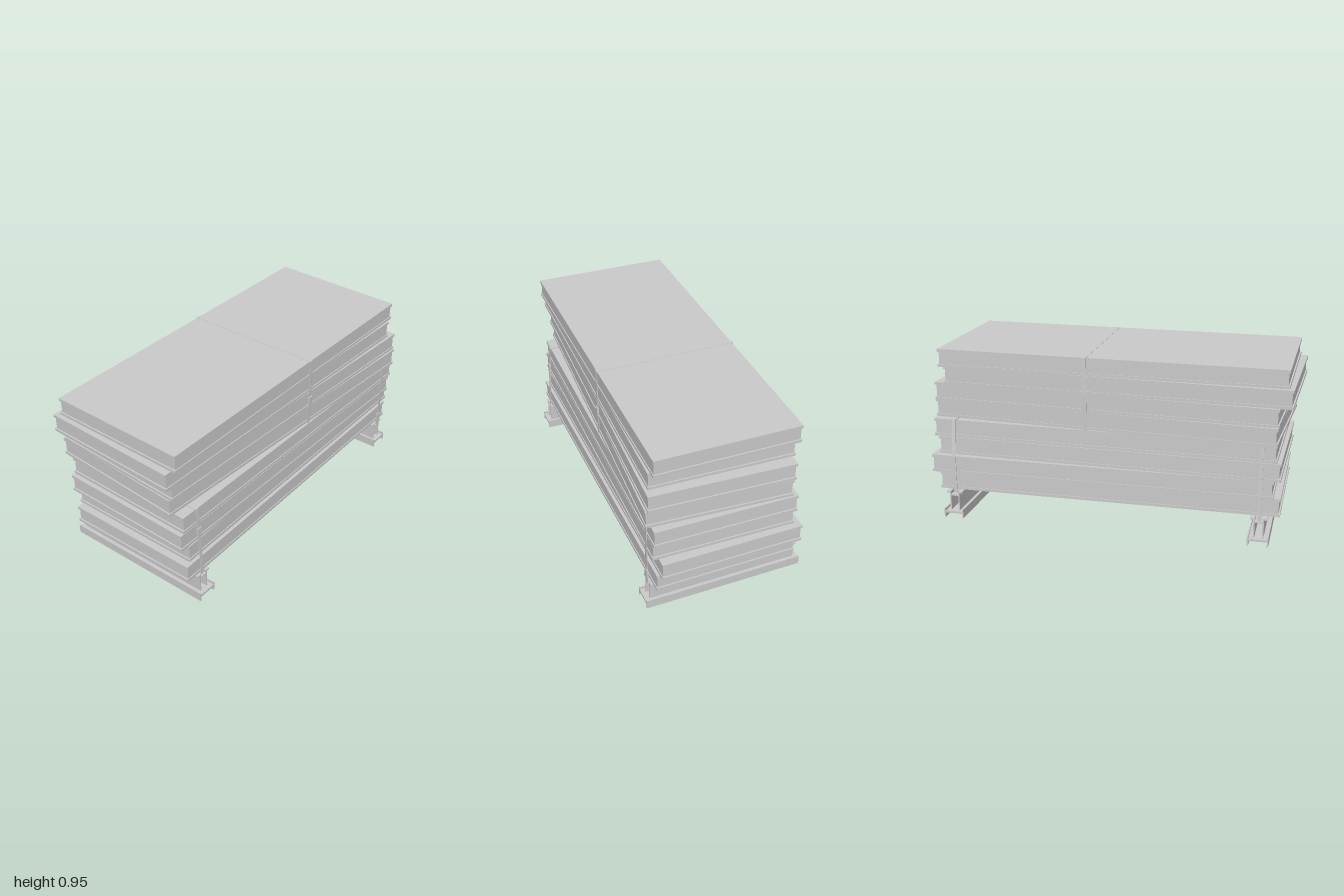
import * as THREE from 'three';

const material = new THREE.MeshStandardMaterial({ color: 0xcccccc });

function box(parent, name, size, pos, rotZ = 0) {
  const mesh = new THREE.Mesh(new THREE.BoxGeometry(...size), material);
  mesh.name = name;
  mesh.position.set(...pos);
  mesh.rotation.z = rotZ;
  parent.add(mesh);
  return mesh;
}

// Sandwich panel: recessed core between two thin face sheets
function panel([x, y, z, turn], index) {
  const g = new THREE.Group();
  const W = 0.772, L = 1.89, H = 0.0985, T = 0.015;
  g.name = 'panel' + (index + 1);
  box(g, 'bottomSheet', [W, T, L], [0, T / 2, 0]);
  box(g, 'core', [W - 0.01, H - 2 * T, L - 0.016], [0, H / 2, 0]);
  box(g, 'topSheet', [W, T, L], [0, H - T / 2, 0]);
  g.position.set(x, y, z);
  g.rotation.y = turn;
  return g;
}

// Support: wide H rail on the ground carrying a narrower upright channel
function support(name, z) {
  const g = new THREE.Group();
  g.name = name;
  box(g, 'railWeb', [0.874, 0.012, 0.104], [0.002, 0.032, 0]);
  for (const s of [-1, 1]) {
    box(g, 'railFlange', [0.874, 0.05, 0.007], [0.002, 0.025, s * 0.0525]);
    box(g, 'channelWall', [0.825, 0.105, 0.007], [0.002, 0.088, s * 0.024]);
    box(g, 'channelLip', [0.825, 0.009, 0.026], [0.002, 0.1425, s * 0.033]);
  }
  box(g, 'channelWeb', [0.825, 0.008, 0.044], [0.002, 0.125, 0]);
  g.position.z = z;
  return g;
}

// Flat strap following a closed loop of [x, y] points
function strap(name, z, points, width = 0.02) {
  const g = new THREE.Group();
  g.name = name;
  points.forEach(([x0, y0], i) => {
    const [x1, y1] = points[(i + 1) % points.length];
    const dx = x1 - x0, dy = y1 - y0;
    box(g, 'strapRun', [Math.hypot(dx, dy) + 0.003, 0.004, width],
      [(x0 + x1) / 2, (y0 + y1) / 2, 0], Math.atan2(dy, dx));
  });
  g.position.z = z;
  return g;
}

export function createModel() {
  const model = new THREE.Group();
  model.name = 'panelStack';

  // Panels from bottom to top: x, base y, z, turn
  const panels = [
    [0.014, 0.148, -0.015, 0],
    [-0.002, 0.249, -0.0525, -0.001],
    [0.0115, 0.349, -0.01, -0.022],
    [0.0115, 0.45, -0.0325, -0.022],
    [-0.001, 0.555, -0.0125, -0.067],
    [0.001, 0.653, -0.015, -0.054],
    [-0.0025, 0.751, 0.0425, -0.037],
    [0.005, 0.848, 0.01, -0.016],
  ];
  panels.forEach((p, i) => model.add(panel(p, i)));

  model.add(support('frontSupport', 0.825), support('backSupport', -0.865));

  // Straps holding the lower bundle to the supports
  const front = strap('frontStrap', 0.825, [
    [-0.412, 0.138], [0.406, 0.138], [0.402, 0.25], [0.384, 0.551], [-0.396, 0.551]]);
  box(front, 'buckle', [0.01, 0.05, 0.028], [0.394, 0.41, 0], 0.05);
  const back = strap('backStrap', -0.865, [
    [-0.392, 0.138], [0.415, 0.138], [0.42, 0.35], [0.42, 0.551], [-0.362, 0.551], [-0.392, 0.35]]);
  box(back, 'buckle', [0.01, 0.05, 0.028], [0.418, 0.195, 0]);

  // Strap around the upper bundle
  const middle = strap('upperStrap', -0.115, [
    [-0.382, 0.553], [0.394, 0.553], [0.397, 0.75], [0.396, 0.946], [-0.383, 0.946], [-0.388, 0.75]]);
  box(middle, 'buckle', [0.01, 0.045, 0.028], [0.399, 0.7, 0]);

  model.add(front, back, middle);
  return model;
}
